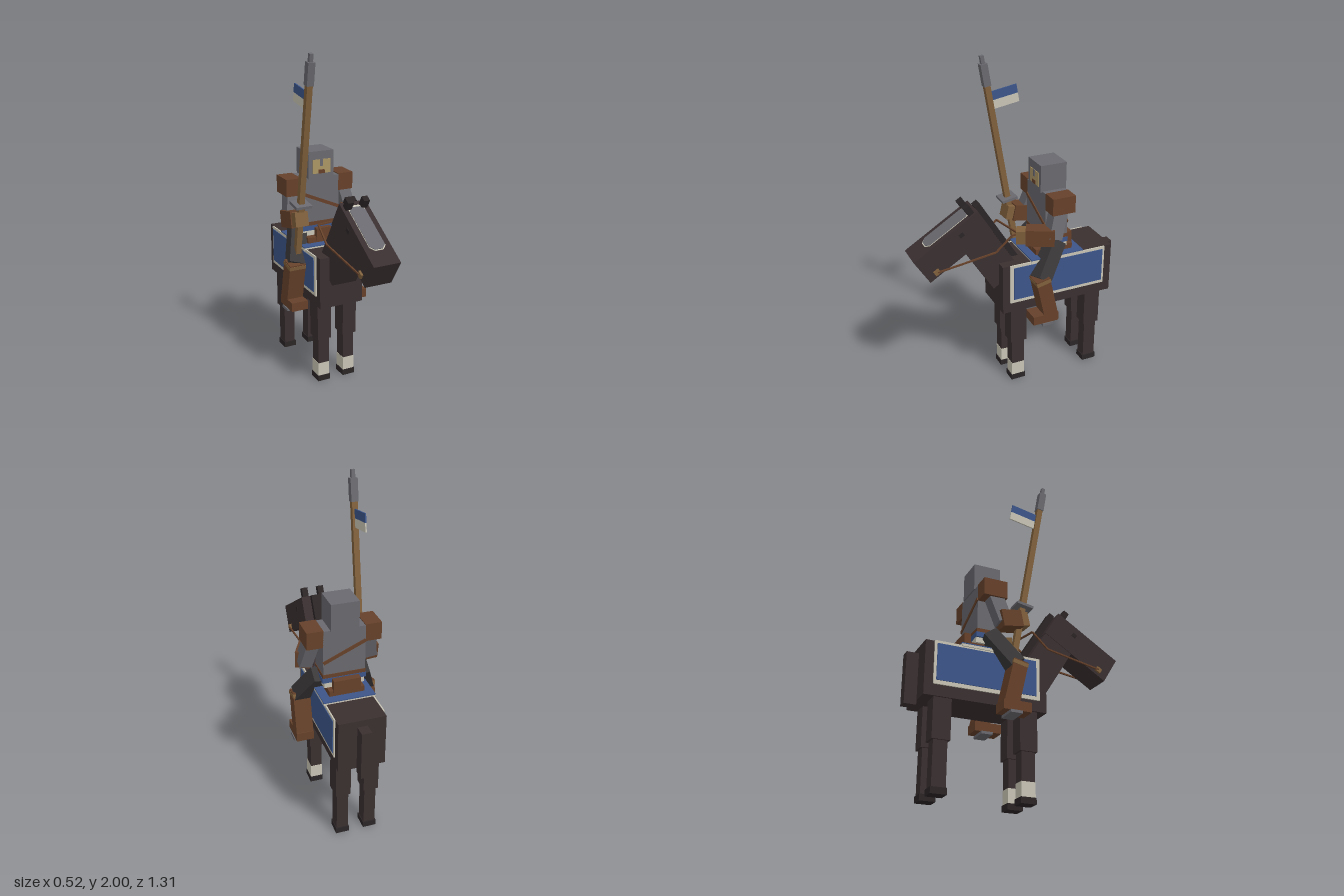
import * as THREE from 'three';

const mat = (name, color) => {
  const m = new THREE.MeshStandardMaterial({ color });
  m.name = name;
  return m;
};

export function createModel() {
  const coat = mat('horse coat', 0x3a2f30), dark = mat('dark hair', 0x2b2526);
  const steel = mat('steel', 0x69696f), mail = mat('dark mail', 0x3b3839);
  const leather = mat('leather', 0x66412a), wood = mat('wood', 0x80603c);
  const blue = mat('blue cloth', 0x3c5589), white = mat('off white', 0xc8c4b5);
  const skin = mat('skin', 0xab9565);
  const model = new THREE.Group();
  model.name = 'mountedKnight';

  // Box given by its extents on each axis
  function box(parent, name, m, [x0, x1], [y0, y1], [z0, z1]) {
    const mesh = new THREE.Mesh(new THREE.BoxGeometry(x1 - x0, y1 - y0, z1 - z0), m);
    mesh.position.set((x0 + x1) / 2, (y0 + y1) / 2, (z0 + z1) / 2);
    mesh.name = name;
    parent.add(mesh);
    return mesh;
  }
  // Box mirrored to both sides
  function pair(parent, name, m, [x0, x1], y, z) {
    box(parent, name + 'Left', m, [x0, x1], y, z);
    box(parent, name + 'Right', m, [-x1, -x0], y, z);
  }
  // Square limb from p to q
  function limb(parent, name, m, p, q, w, d) {
    const a = new THREE.Vector3(...p), b = new THREE.Vector3(...q);
    const up = b.clone().sub(a), len = up.length();
    up.normalize();
    const ref = Math.abs(up.x) > 0.9 ? new THREE.Vector3(0, 0, 1) : new THREE.Vector3(1, 0, 0);
    const side = ref.addScaledVector(up, -ref.dot(up)).normalize();
    const mesh = new THREE.Mesh(new THREE.BoxGeometry(w, len, d), m);
    mesh.quaternion.setFromRotationMatrix(
      new THREE.Matrix4().makeBasis(side, up, side.clone().cross(up)));
    mesh.position.copy(a).add(b).multiplyScalar(0.5);
    mesh.name = name;
    parent.add(mesh);
    return mesh;
  }
  const group = (parent, name) => {
    const g = new THREE.Group();
    g.name = name;
    parent.add(g);
    return g;
  };

  // Horse body, tail and legs
  const horse = group(model, 'horse');
  box(horse, 'body', coat, [-0.14, 0.14], [0.515, 0.83], [-0.585, 0.14]);
  box(horse, 'tail', coat, [-0.03, 0.03], [0.49, 0.79], [-0.655, -0.585]);
  for (const [name, z] of [['front', 0.033], ['hind', -0.473]]) {
    pair(horse, name + 'UpperLeg', coat, [0.04, 0.13], [0.285, 0.52], [z - 0.052, z + 0.052]);
    pair(horse, name + 'LowerLeg', coat, [0.05, 0.12], [0.03, 0.29], [z - 0.04, z + 0.04]);
    pair(horse, name + 'Hoof', dark, [0.045, 0.125], [0, 0.036], [z - 0.046, z + 0.046]);
  }
  pair(horse, 'sock', white, [0.048, 0.122], [0.036, 0.12], [-0.009, 0.075]);

  // Head and neck, tilted forward together
  const head = group(horse, 'headAndNeck');
  head.position.set(0, 0.997, 0.414);
  head.rotation.x = 0.556;
  box(head, 'head', coat, [-0.083, 0.083], [-0.087, 0.087], [-0.23, 0.23]);
  box(head, 'neck', coat, [-0.08, 0.08], [-0.407, 0.08], [-0.228, -0.03]);
  box(head, 'mane', dark, [-0.03, 0.03], [-0.4, 0.088], [-0.268, -0.232]);
  pair(head, 'ear', dark, [0.032, 0.068], [0.08, 0.145], [-0.21, -0.172]);
  pair(head, 'eye', dark, [0.083, 0.086], [0.02, 0.045], [-0.09, -0.06]);
  pair(head, 'bit', wood, [0.08, 0.096], [-0.07, -0.04], [0.145, 0.18]);
  const plate = (name, m, w, z0, z1, h) => {
    const c = w * 0.5;
    const s = new THREE.Shape([[-w, z0 + c], [-c, z0], [c, z0], [w, z0 + c],
      [w, z1 - c], [c, z1], [-c, z1], [-w, z1 - c]].map(p => new THREE.Vector2(p[0], -p[1])));
    const mesh = new THREE.Mesh(
      new THREE.ExtrudeGeometry(s, { depth: h, bevelEnabled: false }), m);
    mesh.rotation.x = -Math.PI / 2;
    mesh.position.y = 0.087;
    mesh.name = name;
    head.add(mesh);
  };
  plate('facePlateEdge', white, 0.05, -0.2, 0.127, 0.003);
  plate('facePlate', steel, 0.048, -0.185, 0.121, 0.006);

  // Caparison with pale border, saddle cloth and saddle
  const tack = group(model, 'tack');
  pair(tack, 'blanketBorder', white, [0.14, 0.148], [0.58, 0.832], [-0.535, 0.095]);
  pair(tack, 'blanketPanel', blue, [0.148, 0.152], [0.602, 0.815], [-0.52, 0.073]);
  box(tack, 'saddleClothEdge', white, [-0.154, 0.154], [0.825, 0.84], [-0.38, -0.04]);
  box(tack, 'saddleCloth', blue, [-0.155, 0.155], [0.84, 0.846], [-0.382, -0.038]);
  box(tack, 'saddleSeat', leather, [-0.105, 0.105], [0.845, 0.88], [-0.33, -0.09]);
  box(tack, 'cantle', leather, [-0.08, 0.08], [0.87, 0.945], [-0.34, -0.3]);
  box(tack, 'pommel', leather, [-0.05, 0.05], [0.86, 0.935], [-0.118, -0.085]);

  // Reins
  const hand = [0.1, 1.01, 0.02];
  for (const s of [-1, 1]) {
    const path = [[s * 0.095, 0.865, 0.52], [s * 0.112, 0.925, 0.17], [s * 0.115, 1.015, 0.07], hand];
    for (let i = 0; i < 3; i++) limb(tack, 'rein', leather, path[i], path[i + 1], 0.009, 0.009);
  }

  // Rider torso and clothing
  const rider = group(model, 'rider');
  box(rider, 'torso', steel, [-0.125, 0.125], [0.955, 1.24], [-0.282, -0.138]);
  box(rider, 'belt', leather, [-0.128, 0.128], [0.942, 0.965], [-0.285, -0.135]);
  box(rider, 'tunicSkirt', blue, [-0.13, 0.13], [0.912, 0.942], [-0.287, -0.133]);
  box(rider, 'tunicHem', white, [-0.12, 0.12], [0.88, 0.912], [-0.285, -0.135]);
  for (const z of [-0.136, -0.284])
    limb(rider, 'chestStrap', leather, [-0.125, 1.15, z], [0.125, 1.04, z], 0.008, 0.02);

  // Helmet with open face
  box(rider, 'helmet', steel, [-0.083, 0.083], [1.235, 1.4], [-0.29, -0.125]);
  box(rider, 'face', skin, [-0.055, 0.06], [1.265, 1.35], [-0.126, -0.121]);
  box(rider, 'nasal', steel, [-0.008, 0.012], [1.31, 1.352], [-0.122, -0.119]);
  box(rider, 'mouth', leather, [-0.018, 0.022], [1.265, 1.288], [-0.122, -0.119]);

  // Shoulders and arms
  pair(rider, 'shoulder', leather, [0.123, 0.22], [1.14, 1.245], [-0.282, -0.138]);
  limb(rider, 'upperArmLeft', steel, [0.165, 1.17, -0.205], [0.2, 0.99, -0.15], 0.075, 0.085);
  limb(rider, 'upperArmRight', steel, [-0.165, 1.17, -0.205], [-0.195, 0.99, -0.15], 0.075, 0.085);
  limb(rider, 'gauntletLeft', leather, [0.205, 1.008, -0.16], [0.13, 1.008, -0.01], 0.095, 0.1);
  limb(rider, 'handLeft', wood, [0.13, 1.008, -0.01], [0.105, 1.008, 0.04], 0.08, 0.08);
  limb(rider, 'gauntletRight', leather, [-0.195, 1.0, -0.18], [-0.185, 1.025, -0.055], 0.1, 0.1);
  limb(rider, 'handRight', wood, [-0.185, 1.025, -0.055], [-0.182, 1.035, -0.01], 0.085, 0.085);

  // Legs, boots and stirrups
  for (const s of [-1, 1]) {
    limb(rider, 'thigh', mail, [s * 0.12, 0.93, -0.21], [s * 0.2, 0.735, -0.075], 0.1, 0.09);
    limb(rider, 'boot', leather, [s * 0.203, 0.755, -0.068], [s * 0.203, 0.5, -0.125], 0.104, 0.088);
    limb(rider, 'bootCuff', wood, [s * 0.203, 0.748, -0.0696], [s * 0.203, 0.725, -0.0747], 0.108, 0.092);
  }
  pair(rider, 'foot', leather, [0.15, 0.255], [0.46, 0.515], [-0.172, -0.008]);
  pair(rider, 'stirrup', steel, [0.14, 0.262], [0.444, 0.46], [-0.135, -0.065]);

  // Lance with pennant, leaning forward
  const lance = group(model, 'lance');
  lance.position.set(-0.18, 0.79, -0.085);
  lance.rotation.x = 0.17;
  box(lance, 'shaft', wood, [-0.017, 0.017], [0, 1.07], [-0.017, 0.017]);
  box(lance, 'guard', steel, [-0.05, 0.05], [0.327, 0.343], [-0.05, 0.05]);
  box(lance, 'lanceHead', steel, [-0.021, 0.021], [1.05, 1.18], [-0.021, 0.021]);
  box(lance, 'lanceTip', steel, [-0.011, 0.011], [1.18, 1.226], [-0.011, 0.011]);
  box(lance, 'pennantTop', blue, [-0.004, 0.004], [0.958, 1.01], [-0.178, -0.015]);
  box(lance, 'pennantBottom', white, [-0.004, 0.004], [0.905, 0.958], [-0.178, -0.015]);

  return model;
}
